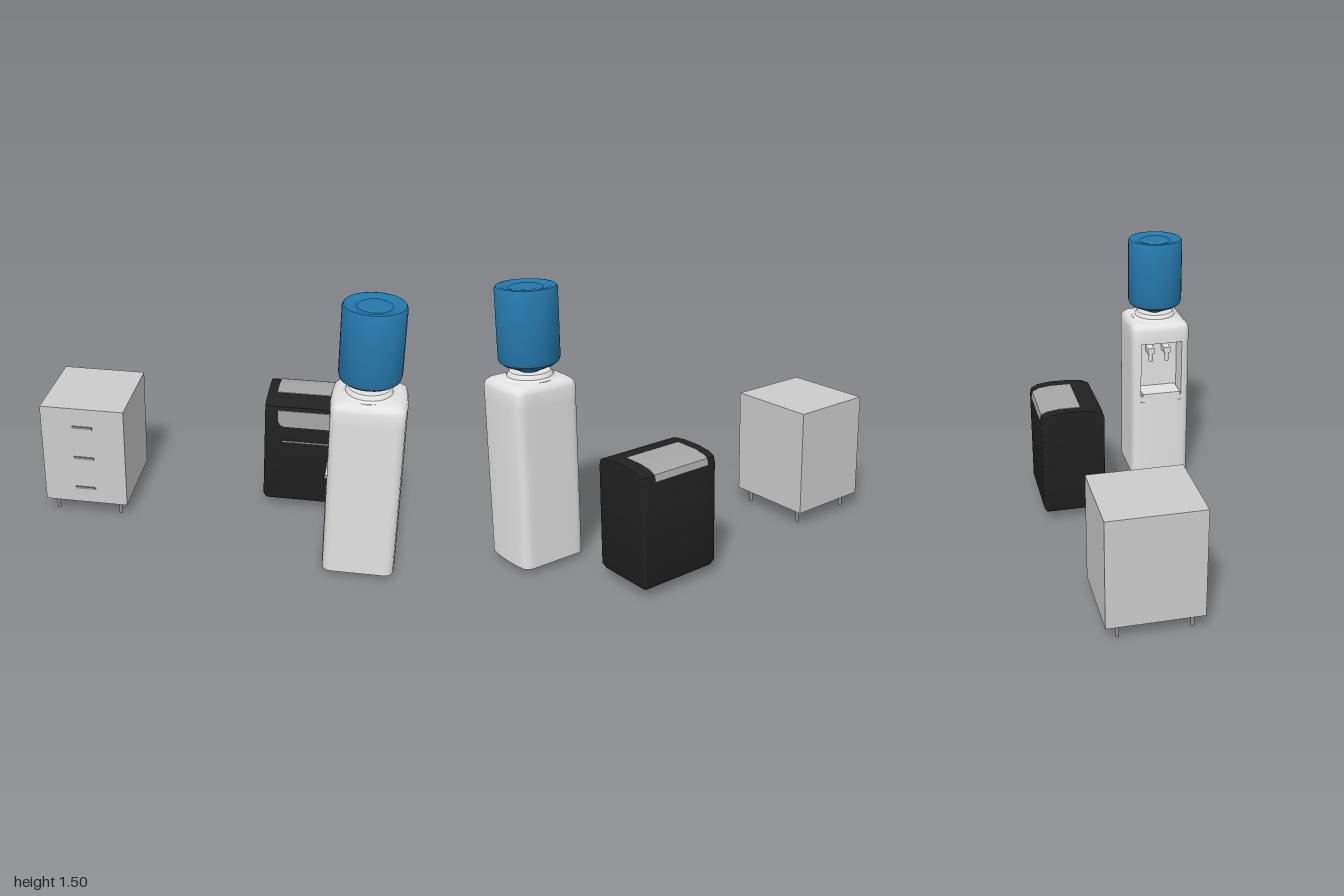
import * as THREE from 'three';
import { toCreasedNormals } from 'three/addons/utils/BufferGeometryUtils.js';

const mat = (name, color) => {
  const m = new THREE.MeshStandardMaterial({ color });
  m.name = name;
  return m;
};

// Rounded rectangle outline in x/z, with optional outward bulge of the x sides
function outline(hx, hz, r, bulge = 0) {
  const corners = [[1, 1], [-1, 1], [-1, -1], [1, -1]];
  const pts = [];
  corners.forEach(([sx, sz], k) => {
    for (let i = 0; i <= 5; i++) {
      const a = (k + i / 5) * Math.PI / 2;
      pts.push([sx * (hx - r) + r * Math.cos(a), sz * (hz - r) + r * Math.sin(a)]);
    }
    // subdivide the straight run to the next corner
    const [nx, nz] = corners[(k + 1) % 4];
    const a = (k + 1) * Math.PI / 2;
    const end = [nx * (hx - r) + r * Math.cos(a), nz * (hz - r) + r * Math.sin(a)];
    const start = pts[pts.length - 1];
    for (let i = 1; i < 6; i++) {
      pts.push([start[0] + (end[0] - start[0]) * i / 6, start[1] + (end[1] - start[1]) * i / 6]);
    }
  });
  return pts.map(([x, z]) => [x + (x / hx) * bulge * (1 - (z / hz) ** 2), z]);
}

// Closed skin through horizontal outlines: levels = [[y, outline], ...]
function loft(levels) {
  const n = levels[0][1].length, pos = [], idx = [];
  levels.forEach(([y, ring]) => ring.forEach(([x, z]) => pos.push(x, y, z)));
  for (let l = 0; l < levels.length - 1; l++) {
    for (let j = 0; j < n; j++) {
      const a = l * n + j, b = l * n + (j + 1) % n;
      idx.push(a, a + n, b, b, a + n, b + n);
    }
  }
  const top = (levels.length - 1) * n, c = levels.length * n;
  pos.push(0, levels[0][0], 0, 0, levels[levels.length - 1][0], 0);
  for (let j = 0; j < n; j++) {
    const k = (j + 1) % n;
    idx.push(c, j, k, c + 1, top + k, top + j);
  }
  const g = new THREE.BufferGeometry();
  g.setAttribute('position', new THREE.Float32BufferAttribute(pos, 3));
  g.setIndex(idx);
  return toCreasedNormals(g, 0.6);
}

export function createModel() {
  const model = new THREE.Group();
  const cabinetGrey = mat('cabinet grey', 0xcccccc);
  const white = mat('cooler white', 0xe2e2e2);
  const blue = mat('bottle blue', 0x2478ab);
  const black = mat('bin black', 0x212121);
  const panelGrey = mat('panel grey', 0xa6a6a6);
  const metal = mat('metal grey', 0x909090);

  const add = (parent, name, geo, material, x = 0, y = 0, z = 0) => {
    const m = new THREE.Mesh(geo, material);
    m.name = name;
    m.position.set(x, y, z);
    parent.add(m);
    return m;
  };
  const group = (name, x, z) => {
    const g = new THREE.Group();
    g.name = name;
    g.position.set(x, 0, z);
    model.add(g);
    return g;
  };
  const box = (w, h, d) => new THREE.BoxGeometry(w, h, d);

  // Drawer cabinet
  const cabinet = group('drawerCabinet', -0.7625, -0.125);
  add(cabinet, 'cabinetBody', box(0.475, 0.6, 0.51), cabinetGrey, 0, 0.385, 0);
  for (const y of [0.18, 0.375, 0.57]) {
    add(cabinet, 'drawerHandle', box(0.115, 0.014, 0.008), metal, 0, y, 0.258);
  }
  for (const x of [-0.185, 0.185]) for (const z of [-0.185, 0.2]) {
    add(cabinet, 'cabinetLeg', new THREE.CylinderGeometry(0.01, 0.01, 0.09, 12), metal, x, 0.045, z);
  }

  // Bin with domed top
  const bin = group('bin', 0.46, -0.305);
  const binLevels = [
    [0.05, 0.205, 0.15], [0.058, 0.222, 0.168], [0.085, 0.235, 0.18], [0.63, 0.235, 0.181],
    [0.66, 0.235, 0.172], [0.675, 0.235, 0.14], [0.685, 0.233, 0.07],
  ];
  add(bin, 'binBody', loft(binLevels.map(([y, hx, hz]) => [y, outline(hx, hz, 0.014)])), black);

  // Lid plate that wraps from the top over the rear edge
  const lidPath = [[-0.181, 0.625], [-0.172, 0.66], [-0.14, 0.675], [-0.07, 0.685], [0.05, 0.685]];
  const lidShape = new THREE.Shape([
    ...lidPath.map(([z, y]) => new THREE.Vector2(-z + (z < -0.1 ? 0.003 : 0), y + 0.003)),
    ...lidPath.map(([z, y]) => new THREE.Vector2(-z - 0.002, y - 0.003)).reverse(),
  ]);
  const lidGeo = new THREE.ExtrudeGeometry(lidShape, { depth: 0.34, bevelEnabled: false });
  lidGeo.rotateY(Math.PI / 2);
  add(bin, 'lidPlate', toCreasedNormals(lidGeo, 0.6), panelGrey, -0.18, 0, 0);

  // Front plate with rounded lower corners
  const plate = new THREE.Shape();
  plate.moveTo(-0.16, 0.64);
  plate.lineTo(-0.16, 0.58);
  plate.quadraticCurveTo(-0.155, 0.543, -0.12, 0.54);
  plate.lineTo(0.12, 0.54);
  plate.quadraticCurveTo(0.155, 0.543, 0.16, 0.58);
  plate.lineTo(0.16, 0.64);
  add(bin, 'frontPlate', new THREE.ExtrudeGeometry(plate, { depth: 0.005, bevelEnabled: false }),
    panelGrey, 0, 0, 0.179);
  add(bin, 'frontSlot', box(0.26, 0.006, 0.004), panelGrey, 0, 0.445, 0.181);

  // Water cooler: its niche faces -x
  const cooler = group('waterCooler', 0.805, 0.307);
  const section = (inset = 0) => outline(0.18 - inset, 0.176 - inset, 0.04, 0.015);
  const nicheBottom = 0.56, nicheTop = 0.9, half = 0.125;
  add(cooler, 'coolerBase', loft([[0.03, section()], [nicheBottom, section()]]), white);
  add(cooler, 'coolerTop', loft([
    [nicheTop, section()], [0.975, section()], [0.995, section(0.006)],
    [1.01, section(0.022)], [1.018, section(0.045)],
  ]), white);

  // U-shaped middle around the niche
  const uPoints = [];
  let cut = false;
  for (const [x, z] of section()) {
    if (x < 0 && Math.abs(z) < half) {
      if (!cut) for (const p of [[-0.187, half], [-0.06, half], [-0.06, -half], [-0.187, -half]]) uPoints.push(p);
      cut = true;
    } else uPoints.push([x, z]);
  }
  const uGeo = new THREE.ExtrudeGeometry(
    new THREE.Shape(uPoints.map(([x, z]) => new THREE.Vector2(x, -z))),
    { depth: nicheTop - nicheBottom, bevelEnabled: false });
  uGeo.rotateX(-Math.PI / 2);
  add(cooler, 'nicheWalls', toCreasedNormals(uGeo, 0.6), white, 0, nicheBottom, 0);

  // Taps, drip tray and seam
  for (const z of [-0.05, 0.05]) {
    add(cooler, 'tapBody', box(0.07, 0.035, 0.04), white, -0.095, 0.83, z);
    add(cooler, 'tapSpout', new THREE.CylinderGeometry(0.014, 0.011, 0.06, 12), white, -0.115, 0.79, z);
  }
  add(cooler, 'dripTray', box(0.135, 0.02, 0.23), white, -0.13, 0.57, 0);
  add(cooler, 'frontSeam', box(0.004, 0.006, 0.25), metal, -0.188, 0.525, 0);

  // Collar and bottle
  const lathe = (pts) => toCreasedNormals(
    new THREE.LatheGeometry(pts.map(([r, y]) => new THREE.Vector2(r, y)), 28), 0.6);
  add(cooler, 'bottleCollar', lathe([
    [0, 1.0], [0.14, 1.0], [0.138, 1.018], [0.12, 1.028], [0.113, 1.045], [0.106, 1.05], [0, 1.05],
  ]), white, -0.005, 0, 0);
  add(cooler, 'waterBottle', lathe([
    [0, 1.045], [0.045, 1.045], [0.06, 1.055], [0.135, 1.088], [0.153, 1.102], [0.16, 1.125],
    [0.16, 1.48], [0.153, 1.493], [0.138, 1.496], [0.115, 1.488], [0.09, 1.483],
    [0.08, 1.489], [0.04, 1.487], [0, 1.485],
  ]), blue, -0.005, 0, 0);

  return model;
}
